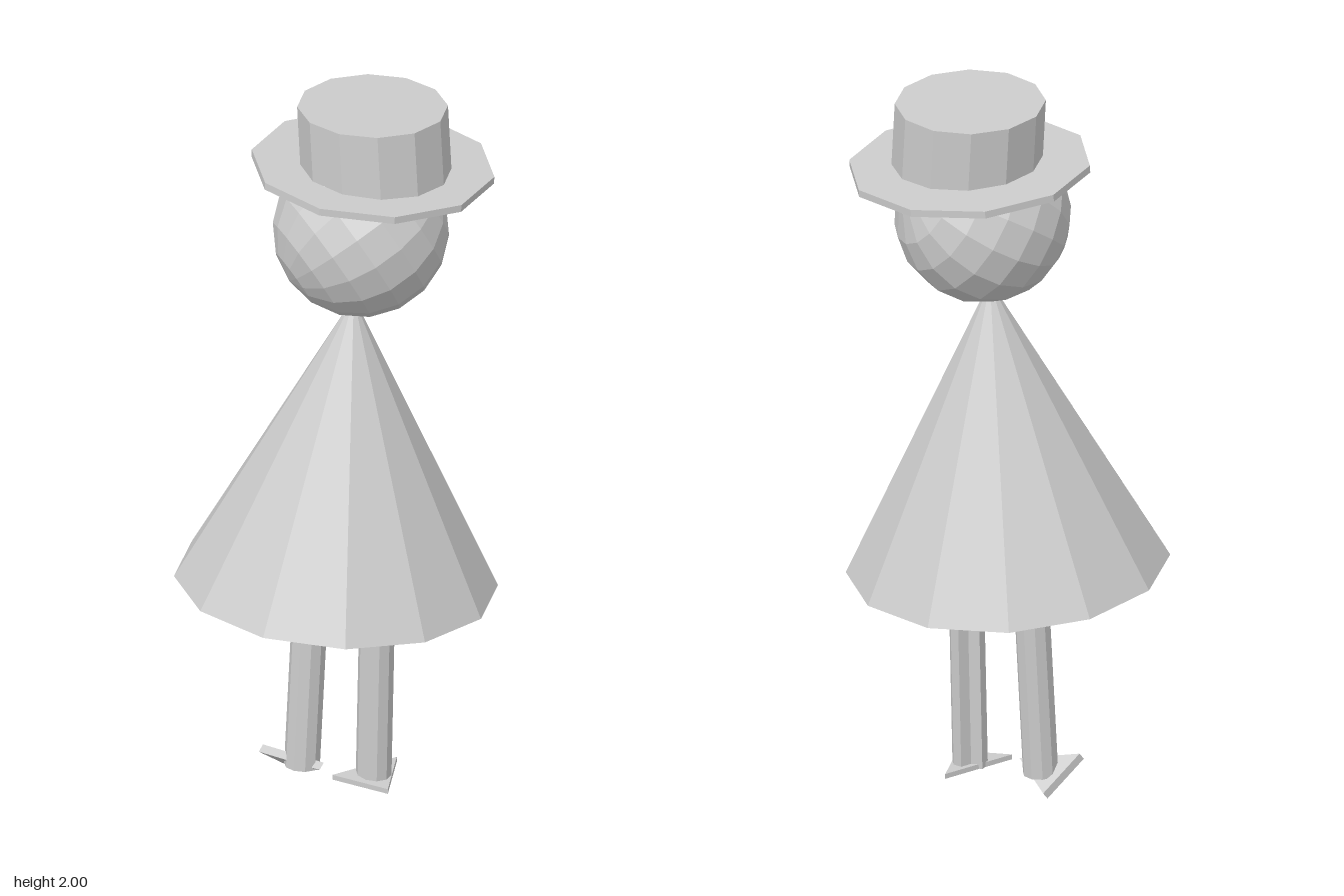
import * as THREE from 'three';
import { ConvexGeometry } from 'three/addons/geometries/ConvexGeometry.js';

const material = new THREE.MeshStandardMaterial({ color: 0xcccccc, flatShading: true });
const UP = new THREE.Vector3(0, 1, 0);
const v = (x, y, z) => new THREE.Vector3(x, y, z);

export function createModel() {
  const group = new THREE.Group();

  function add(name, geometry) {
    const mesh = new THREE.Mesh(geometry, material);
    mesh.name = name;
    group.add(mesh);
    return mesh;
  }

  // Round part standing on a base point, turned by spin and leaning along axis
  function column(name, base, axis, rTop, rBottom, height, sides, spin) {
    const geometry = new THREE.CylinderGeometry(rTop, rBottom, height, sides);
    geometry.translate(0, height / 2, 0).rotateY(spin);
    const mesh = add(name, geometry);
    mesh.position.copy(base);
    mesh.quaternion.setFromUnitVectors(UP, axis.clone().normalize());
    return mesh;
  }

  // Leaning conical dress
  column('dress', v(0, 0.622, 0), v(0.04, 1, -0.045), 0.001, 0.432, 0.83, 12, 0.044);

  // Faceted ball head with a tipped axis
  const head = add('head', new THREE.SphereGeometry(0.236, 16, 9));
  head.position.set(0.045, 1.65, -0.055);
  head.quaternion.setFromUnitVectors(UP, v(0.55, 0.5, -0.66).normalize());

  // Hat: ten-sided brim and a crown whose top is shifted to one side
  column('hatBrim', v(0.05, 1.802, -0.11), v(0.052, 1, -0.028), 0.326, 0.326, 0.02, 10, 0.061);
  const crown = column('hatCrown', v(0.068, 1.805, -0.097), v(0.008, 1, -0.025), 0.201, 0.201, 0.19, 12, 0.052);
  const points = crown.geometry.attributes.position;
  for (let i = 0; i < points.count; i++) {
    points.setX(i, points.getX(i) - 0.08 * points.getY(i));
  }

  // Legs, running from the shoes up into the dress
  const legs = [
    ['rightLeg', v(-0.112, 0.045, -0.015), v(0.017, 0.585, -0.025)],
    ['leftLeg', v(0.081, 0.04, -0.06), v(0.007, 0.575, -0.01)],
  ];
  for (const [name, base, axis] of legs) {
    const leg = column(name, base, axis, 0.048, 0.048, axis.length(), 10, 0.05);
    if (name !== 'leftLeg') continue;
    // Narrow groove along the back: one column of corners pulled inwards
    const p = leg.geometry.attributes.position;
    for (let i = 0; i < p.count; i++) {
      const x = p.getX(i), z = p.getZ(i);
      if (-0.6 * x - 0.8 * z > 0.046) p.setXYZ(i, x * 0.5, p.getY(i), z * 0.5);
    }
  }

  // Three-cornered shoes: thin triangular slabs
  function shoe(name, corners, thickness) {
    const raised = corners.map((c) => c.clone().add(thickness));
    add(name, new ConvexGeometry([...corners, ...raised]));
  }
  shoe('rightShoe', [v(-0.21, 0.085, 0.045), v(-0.165, 0, -0.065), v(-0.05, 0.05, 0)], v(0.006, 0.018, -0.012));
  shoe('leftShoe', [v(0.09, 0.036, -0.17), v(0, 0.042, 0.02), v(0.155, 0.026, -0.005)], v(0, 0.014, 0));

  return group;
}
